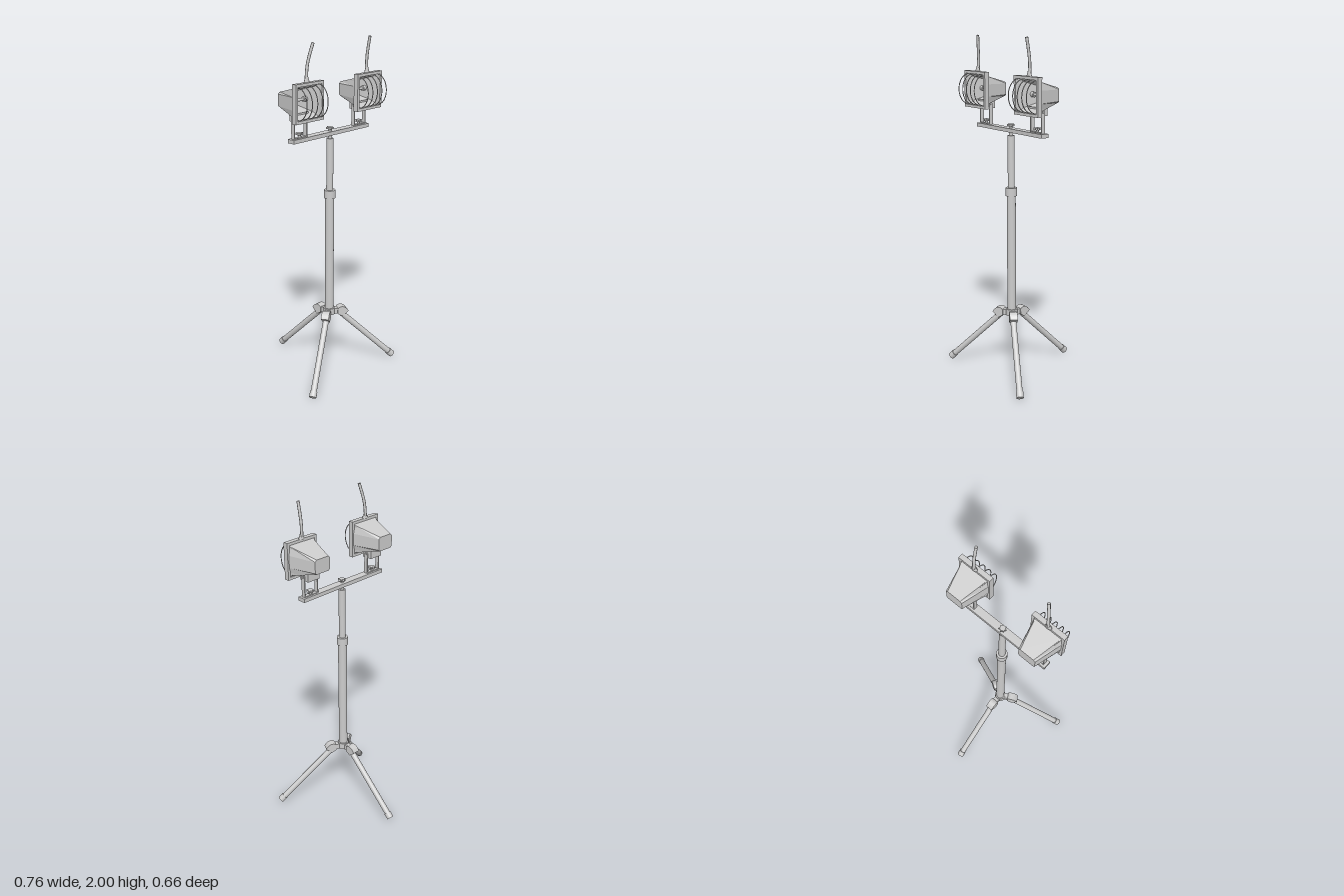
import * as THREE from 'three';

const mat = new THREE.MeshStandardMaterial({ color: 0xcccccc });
const flat = new THREE.MeshStandardMaterial({ color: 0xcccccc, flatShading: true, side: THREE.DoubleSide });
const AXIS_Z = 0.1; // the mast stands slightly forward of the centre

function add(parent, name, geo, x = 0, y = 0, z = 0, material = mat) {
  const mesh = new THREE.Mesh(geo, material);
  mesh.name = name;
  mesh.position.set(x, y, z);
  parent.add(mesh);
  return mesh;
}

const box = (w, h, d) => new THREE.BoxGeometry(w, h, d);
const cyl = (r, h, n = 20, r2 = r) => new THREE.CylinderGeometry(r2, r, h, n);

// Skin over rings of [x, y, z] points, with an optional cap at either end
function loft(rings, capStart, capEnd) {
  const n = rings[0].length, index = [];
  for (let r = 0; r < rings.length - 1; r++) {
    for (let i = 0; i < n; i++) {
      const j = (i + 1) % n, a = r * n, b = a + n;
      index.push(a + i, a + j, b + j, a + i, b + j, b + i);
    }
  }
  const last = (rings.length - 1) * n;
  for (let i = 1; i < n - 1; i++) {
    if (capStart) index.push(0, i + 1, i);
    if (capEnd) index.push(last, last + i, last + i + 1);
  }
  const geo = new THREE.BufferGeometry();
  geo.setAttribute('position', new THREE.Float32BufferAttribute(rings.flat(2), 3));
  geo.setIndex(index);
  const out = geo.toNonIndexed();
  out.computeVertexNormals();
  return out;
}

// Star-shaped hand knob on a short stem
function knob(parent, x, y) {
  const g = new THREE.Group();
  g.name = 'knob';
  g.position.set(x, y, AXIS_Z);
  const s = new THREE.Shape();
  for (let i = 0; i < 14; i++) {
    const r = i % 2 ? 0.015 : 0.022, a = (i / 14) * Math.PI * 2;
    s[i ? 'lineTo' : 'moveTo'](r * Math.sin(a), r * Math.cos(a));
  }
  s.closePath();
  const star = new THREE.ExtrudeGeometry(s, { depth: 0.012, bevelEnabled: false }).rotateX(-Math.PI / 2);
  add(g, 'knobHead', star, 0, 0.012, 0);
  add(g, 'knobStem', cyl(0.008, 0.014, 12), 0, 0.006, 0);
  parent.add(g);
}

// Leg running outward along local +z, with its hinge and rubber foot
function leg(angle) {
  const g = new THREE.Group();
  g.name = 'leg';
  g.position.z = AXIS_Z;
  g.rotation.y = angle;

  const top = new THREE.Vector3(0, 0.355, 0.07), end = new THREE.Vector3(0, 0.0155, 0.417);
  const dir = end.clone().sub(top).normalize();
  const along = (name, geo, from, to) => {
    const m = add(g, name, geo(from.distanceTo(to)));
    m.position.copy(from).lerp(to, 0.5);
    m.quaternion.setFromUnitVectors(new THREE.Vector3(0, -1, 0), dir);
  };
  along('legTube', (h) => cyl(0.0175, h), top, end.clone().addScaledVector(dir, -0.005));
  along('foot', (h) => cyl(0.021, h), end.clone().addScaledVector(dir, -0.036), end);

  // Hinge outline: (distance from mast, height)
  const s = new THREE.Shape();
  s.moveTo(0.05, 0.352);
  s.lineTo(0.08, 0.333);
  s.lineTo(0.117, 0.366);
  s.quadraticCurveTo(0.1, 0.398, 0.072, 0.398);
  s.quadraticCurveTo(0.055, 0.396, 0.05, 0.385);
  s.closePath();
  const hinge = new THREE.ExtrudeGeometry(s, { depth: 0.047, bevelEnabled: false, curveSegments: 6 });
  add(g, 'hinge', hinge.translate(0, 0, -0.0235).rotateY(-Math.PI / 2));
  add(g, 'hingeTongue', box(0.034, 0.034, 0.05), 0, 0.37, 0.04);
  return g;
}

function lamp(x, cableEnd) {
  const g = new THREE.Group();
  g.name = 'floodlight';
  g.position.set(x, 1.69, 0);

  // Tapered eight-sided housing
  const ring = (wTop, wMid, top, upper, lower, bottom, z) => [
    [wMid, lower, z], [wMid, upper, z], [wTop, top, z], [-wTop, top, z],
    [-wMid, upper, z], [-wMid, lower, z], [-wTop, bottom, z], [wTop, bottom, z]];
  add(g, 'housing', loft([
    ring(0.043, 0.054, 0.04, 0.03, -0.035, -0.043, -0.006),
    ring(0.085, 0.097, 0.083, 0.035, -0.035, -0.083, 0.155)], true, false), 0, 0, 0, flat);

  // Square front frame
  const s = new THREE.Shape(), hole = new THREE.Path(), a = 0.106, b = 0.09;
  s.moveTo(-a, -a).lineTo(a, -a).lineTo(a, a).lineTo(-a, a).closePath();
  hole.moveTo(-b, -b).lineTo(-b, b).lineTo(b, b).lineTo(b, -b).closePath();
  s.holes.push(hole);
  add(g, 'frontFrame', new THREE.ExtrudeGeometry(s, { depth: 0.029, bevelEnabled: false }), 0, 0, 0.153);

  // Reflector, curved above and below the bulb
  const rings = [];
  for (let i = 0; i <= 6; i++) {
    const t = i / 6, w = 0.09 - 0.042 * t, z = 0.16 - 0.145 * t;
    const h = Math.min(0.025 + 0.065 * Math.sqrt(1 - t), 0.083 - 0.045 * t + (i ? -0.004 : 0.007));
    rings.push([[w, -h, z], [w, h, z], [-w, h, z], [-w, -h, z]]);
  }
  add(g, 'reflector', loft(rings, false, true), 0, 0, 0, flat);
  add(g, 'bulb', cyl(0.008, 0.1, 12).rotateZ(Math.PI / 2), 0, 0, 0.085);
  for (const sx of [-1, 1]) add(g, 'bulbHolder', cyl(0.015, 0.022, 12).rotateZ(Math.PI / 2), sx * 0.056, 0, 0.085);

  // Bowed guard wires
  const arc = [];
  for (let i = 0; i <= 12; i++) {
    const t = -Math.PI / 2 + (i / 12) * Math.PI;
    arc.push(new THREE.Vector3(0, 0.088 * Math.sin(t), 0.17 + 0.068 * Math.cos(t)));
  }
  const wire = new THREE.TubeGeometry(new THREE.CatmullRomCurve3(arc), 28, 0.0026, 6);
  for (let i = -2; i <= 2; i++) add(g, 'guardWire', wire, i * 0.04);

  // Cable and its gland
  add(g, 'cableGland', cyl(0.02, 0.03, 8, 0.01).scale(1.1, 1, 0.55), 0, 0.118, 0.157);
  const [ex, ez] = cableEnd;
  const path = new THREE.CatmullRomCurve3([
    new THREE.Vector3(0, 0.12, 0.153), new THREE.Vector3(ex * 0.2, 0.19, 0.153 + ez * 0.1),
    new THREE.Vector3(ex * 0.5, 0.245, 0.153 + ez * 0.45), new THREE.Vector3(ex, 0.31, 0.153 + ez)]);
  add(g, 'cable', new THREE.TubeGeometry(path, 16, 0.0085, 8), 0, 0, 0, new THREE.MeshStandardMaterial({ color: 0xcccccc, side: THREE.DoubleSide }));

  // U-shaped mounting yoke
  add(g, 'mountBlock', box(0.084, 0.05, 0.064), 0, -0.085, AXIS_Z - 0.002);
  add(g, 'yokeBase', box(0.1, 0.006, 0.024), 0, -0.202, AXIS_Z);
  for (const sx of [-1, 1]) {
    add(g, 'yokeArm', box(0.006, 0.118, 0.024), sx * 0.047, -0.146, AXIS_Z);
    add(g, 'yokeEnd', cyl(0.012, 0.006, 16).rotateZ(Math.PI / 2), sx * 0.047, -0.087, AXIS_Z);
    add(g, 'yokeBolt', cyl(0.006, 0.016, 8).rotateZ(Math.PI / 2), sx * 0.047, -0.087, AXIS_Z);
  }
  knob(g, 0, -0.199);
  return g;
}

export function createModel() {
  const model = new THREE.Group();
  model.name = 'workLightStand';

  // Telescopic mast
  add(model, 'hub', cyl(0.034, 0.04, 24), 0, 0.375, AXIS_Z);
  add(model, 'lowerMast', cyl(0.026, 0.77, 24), 0, 0.74, AXIS_Z);
  add(model, 'mastCollar', cyl(0.033, 0.048, 24), 0, 1.115, AXIS_Z);
  add(model, 'upperMast', cyl(0.02, 0.34, 24), 0, 1.274, AXIS_Z);
  add(model, 'mastPin', cyl(0.012, 0.03, 16), 0, 1.455, AXIS_Z);

  // Cross bar
  add(model, 'crossBar', box(0.62, 0.022, 0.048), 0, 1.475, AXIS_Z);
  knob(model, 0, 1.485);

  for (const k of [0, 1, 2]) model.add(leg(Math.PI + (k * Math.PI * 2) / 3));
  model.add(lamp(0.245, [0, 0.022]), lamp(-0.245, [0.03, 0.022]));
  return model;
}
